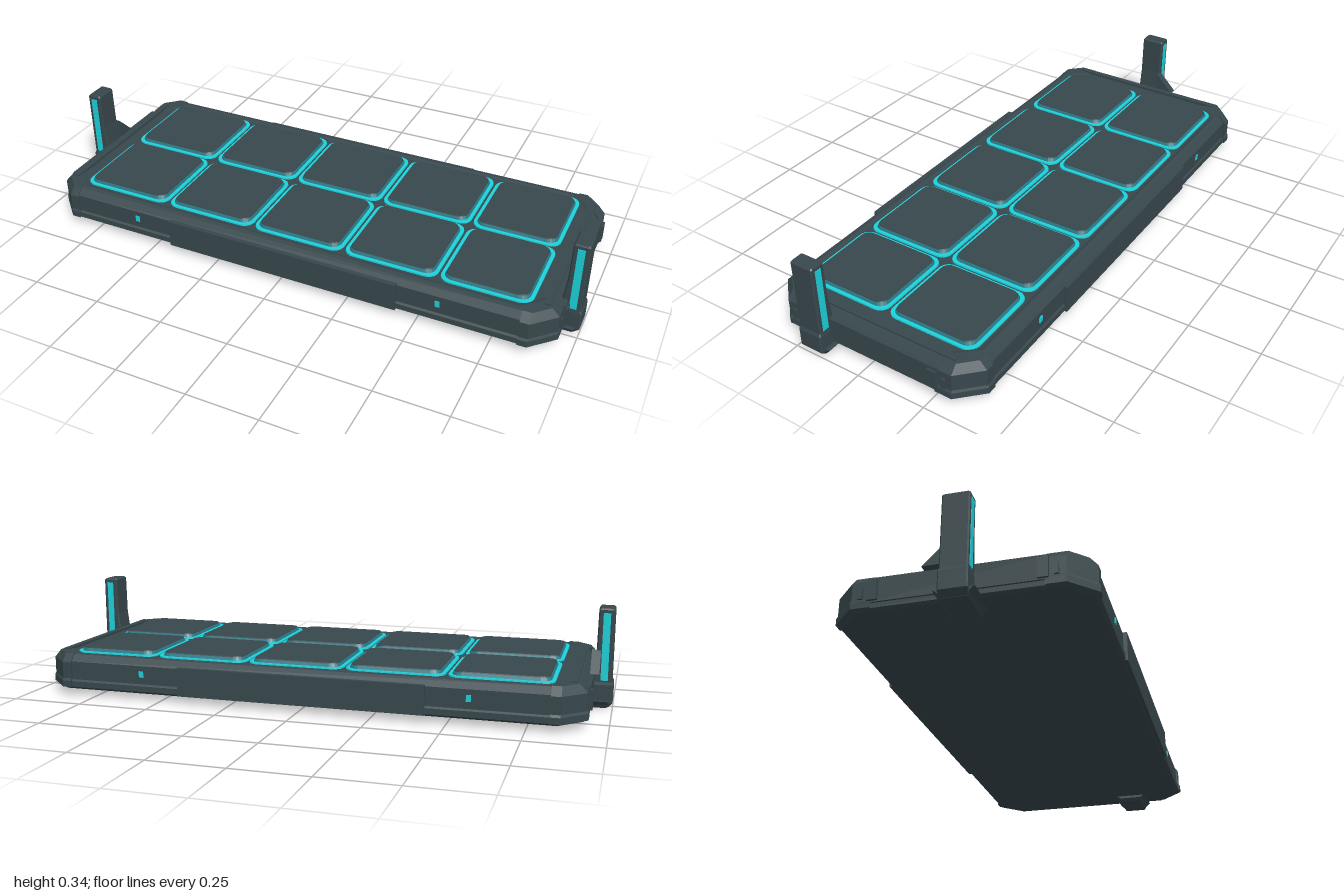
import * as THREE from 'three';

const shell = new THREE.MeshStandardMaterial({ color: 0x37474c });
shell.name = 'dark slate';
const glow = new THREE.MeshStandardMaterial({ color: 0x1cd2dc });
glow.name = 'bright cyan';
const teal = new THREE.MeshStandardMaterial({ color: 0x2a7884 });
teal.name = 'teal';

// Rectangle outline with cut (n = 1) or rounded corners, as [x, z] pairs
function outline(x0, x1, z0, z1, r, n = 1) {
  const pts = [];
  const corners = [[x1 - r, z1 - r], [x0 + r, z1 - r], [x0 + r, z0 + r], [x1 - r, z0 + r]];
  corners.forEach(([cx, cz], q) => {
    for (let i = 0; i <= n; i++) {
      const a = (q + i / n) * Math.PI / 2;
      pts.push([cx + r * Math.cos(a), cz + r * Math.sin(a)]);
    }
  });
  return pts;
}

// Closed solid from stacked horizontal outlines, listed bottom to top as [outline, y]
function loft(layers) {
  const pos = [];
  const rings = layers.map(([pts, y]) => pts.map(([x, z]) => [x, y, z]));
  const n = rings[0].length;
  const centre = ring => [0, 1, 2].map(k => ring.reduce((s, p) => s + p[k], 0) / n);
  const low = rings[0], high = rings[rings.length - 1];
  const cLow = centre(low), cHigh = centre(high);
  for (let i = 0; i < n; i++) {
    const j = (i + 1) % n;
    for (let k = 0; k + 1 < rings.length; k++) {
      const a = rings[k], b = rings[k + 1];
      pos.push(...a[i], ...b[i], ...a[j], ...a[j], ...b[i], ...b[j]);
    }
    pos.push(...cLow, ...low[i], ...low[j], ...cHigh, ...high[j], ...high[i]);
  }
  const g = new THREE.BufferGeometry();
  g.setAttribute('position', new THREE.Float32BufferAttribute(pos, 3));
  g.computeVertexNormals();
  return g;
}

function add(parent, name, geometry, material) {
  const m = new THREE.Mesh(geometry, material);
  m.name = name;
  parent.add(m);
  return m;
}

function box(parent, name, material, x0, x1, y0, y1, z0, z1) {
  const m = add(parent, name, new THREE.BoxGeometry(x1 - x0, y1 - y0, z1 - z0), material);
  m.position.set((x0 + x1) / 2, (y0 + y1) / 2, (z0 + z1) / 2);
  return m;
}

// Upright post with a clamp foot reaching under the tray; side is the sign of x
function makePost(side, z0, z1) {
  const post = new THREE.Group();
  post.name = side > 0 ? 'leftPost' : 'rightPost';
  const span = (a, b) => side > 0 ? [a, b] : [-b, -a];
  const ring = (a, b, e) => outline(...span(a, b), z0 - e, z1 + e, 0.004);
  add(post, 'postColumn', loft([
    [ring(0.925, 0.995, 0), 0.08], [ring(0.94, 0.995, 0), 0.2],
    [ring(0.942, 0.995, 0), 0.335], [ring(0.946, 0.99, -0.003), 0.34],
  ]), shell);
  add(post, 'postSocket', loft([
    [ring(0.925, 0.985, -0.004), 0.002], [ring(0.925, 1, 0.002), 0.018],
    [ring(0.925, 1, 0.002), 0.08], [ring(0.925, 0.995, 0), 0.09],
  ]), shell);
  add(post, 'clampFoot', loft([
    [ring(0.85, 0.98, -0.002), 0], [ring(0.84, 0.985, 0.004), 0.012], [ring(0.84, 0.985, 0.02), 0.026],
  ]), shell);
  // Light strips on the front and back faces
  box(post, 'frontStrip', glow, ...span(0.957, 0.981), 0.095, 0.325, z1, z1 + 0.002);
  box(post, 'backStrip', glow, ...span(0.957, 0.981), 0.095, 0.325, z0 - 0.002, z0);
  return post;
}

export function createModel() {
  const model = new THREE.Group();
  const X0 = -0.935, X1 = 0.95, Z = 0.396;
  const tray = e => outline(X0 + e, X1 - e, -Z + e, Z - e, 0.075);

  // Tray body with a stepped base and bevelled rim
  add(model, 'trayBody', loft([
    [tray(0.014), 0.022], [tray(0.004), 0.03], [tray(0.004), 0.05], [tray(0.01), 0.056],
    [tray(0.01), 0.12], [tray(0.03), 0.143], [tray(0.045), 0.146],
    [tray(0.058), 0.141],
  ]), shell);

  // Reinforced corners
  for (const sx of [-1, 1]) for (const sz of [-1, 1]) {
    const ex = sx > 0 ? X1 : X0;
    const shape = e => {
      const o = e + 0.002;
      const pts = [[0.11, 0.06], [o, 0.14], [o, 0.078], [0.078, o], [0.11, o]]
        .map(([a, b]) => [ex - sx * a, sz * (Z - b)]);
      return sx * sz > 0 ? pts.reverse() : pts;
    };
    // Put the winding in a fixed sense
    const fix = pts => {
      const area = pts.reduce((s, p, i) => {
        const q = pts[(i + 1) % pts.length];
        return s + p[0] * q[1] - q[0] * p[1];
      }, 0);
      return area > 0 ? pts : pts.reverse();
    };
    add(model, 'cornerGuard', loft([
      [fix(shape(-0.004)), 0.03], [fix(shape(-0.004)), 0.052], [fix(shape(0.001)), 0.06],
      [fix(shape(0.001)), 0.118], [fix(shape(0.026)), 0.146],
    ]), shell);
  }

  // Long side panels with small lights, front and back
  for (const s of [-1, 1]) {
    const zs = (a, b) => s > 0 ? [a, b] : [-b, -a];
    box(model, 'sidePanel', shell, -0.43, 0.43, 0.026, 0.125, ...zs(0.38, 0.399));
    for (const x of [-0.57, 0.57]) {
      box(model, 'sideLight', glow, x - 0.008, x + 0.008, 0.08, 0.102, ...zs(0.384, 0.389));
    }
  }

  // End panels, latches and rim bars
  for (const s of [-1, 1]) {
    const ex = s > 0 ? X1 : X0;
    const xs = (a, b) => s > 0 ? [ex + a, ex + b] : [ex - b, ex - a];
    box(model, 'endPanel', shell, ...xs(-0.02, 0.002), 0.046, 0.125, -0.268, 0.268);
    box(model, 'rimBar', shell, ...xs(-0.058, -0.036), 0.13, 0.15, -0.31, 0.31);
    for (const z of [-0.252, 0.252]) {
      box(model, 'latch', shell, ...xs(-0.01, 0.01), 0.05, 0.115, z - 0.016, z + 0.016);
      box(model, 'latchClip', shell, ...xs(-0.012, 0.004), 0.06, 0.095, z * 1.15 - 0.007, z * 1.15 + 0.007);
    }
  }

  // Two rows of five raised tiles with lit outlines
  const columns = [-0.835, -0.483, -0.138, 0.205, 0.543, 0.862];
  const rows = [-0.335, 0, 0.335];
  for (let c = 0; c < 5; c++) for (let r = 0; r < 2; r++) {
    const tile = new THREE.Group();
    tile.name = 'tile';
    const ring = e => outline(columns[c] + e, columns[c + 1] - e, rows[r] + e, rows[r + 1] - e, 0.04 - e * 0.5, 5);
    add(tile, 'tileOutline', loft([[ring(0.004), 0.138], [ring(0.005), 0.146]]), glow);
    add(tile, 'tileBevel', loft([[ring(0.016), 0.145], [ring(0.021), 0.156]]), teal);
    add(tile, 'tileTop', loft([[ring(0.021), 0.155], [ring(0.023), 0.159]]), shell);
    model.add(tile);
  }

  // Posts at both ends, set at different depths
  model.add(makePost(1, 0.145, 0.23));
  const far = makePost(-1, -0.033, 0.053);
  // Triangular brace behind the post
  const brace = new THREE.Shape([[0.03, 0.2], [0.03, 0.13], [0.1, 0.13]].map(p => new THREE.Vector2(...p)));
  const gusset = add(far, 'brace', new THREE.ExtrudeGeometry(brace, { depth: 0.03, bevelEnabled: false }), shell);
  gusset.rotation.y = Math.PI / 2;
  gusset.position.x = -0.955;
  model.add(far);
  return model;
}
